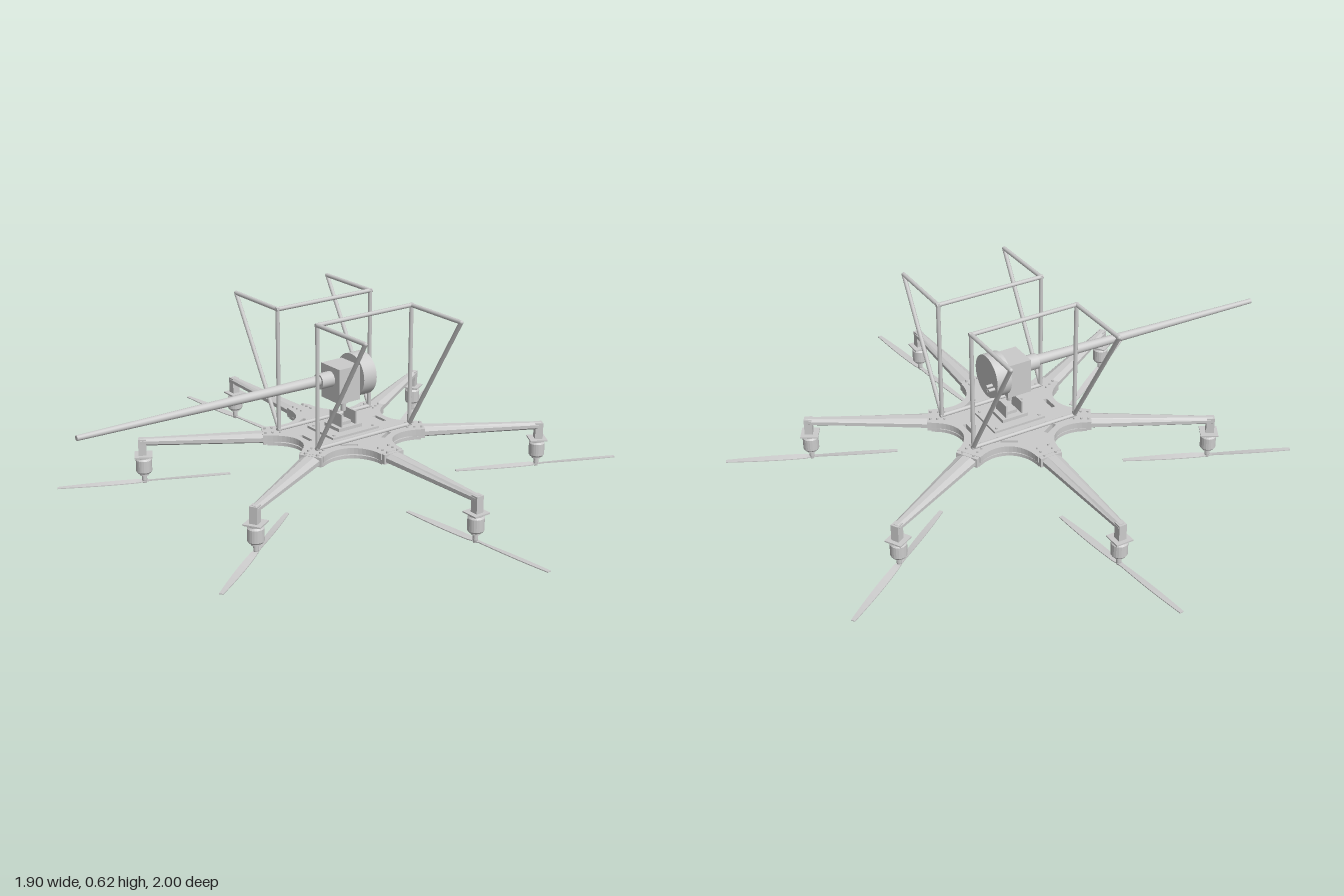
import * as THREE from 'three';

const material = new THREE.MeshStandardMaterial({ color: 0xcccccc });
const flat = new THREE.MeshStandardMaterial({ color: 0xcccccc, flatShading: true });
const CX = 0.065; // hub centre along x

function add(parent, name, geometry, x = 0, y = 0, z = 0, mat = material) {
  const mesh = new THREE.Mesh(geometry, mat);
  mesh.name = name;
  mesh.position.set(x, y, z);
  parent.add(mesh);
  return mesh;
}
const box = (w, h, d) => new THREE.BoxGeometry(w, h, d);
const cyl = (r1, r2, h, n = 24) => new THREE.CylinderGeometry(r1, r2, h, n);

// Round bar between two points, r0 at the start and r1 at the end
function bar(parent, name, a, b, r0, r1 = r0, n = 10) {
  const from = new THREE.Vector3(...a), to = new THREE.Vector3(...b);
  const dir = to.clone().sub(from);
  const mesh = add(parent, name, cyl(r1, r0, dir.length(), n));
  mesh.position.copy(from).addScaledVector(dir, 0.5);
  mesh.quaternion.setFromUnitVectors(new THREE.Vector3(0, 1, 0), dir.normalize());
  return mesh;
}

// Closed path through points
function outline(points, Type = THREE.Path) {
  return new Type(points.map(([x, y]) => new THREE.Vector2(x, y)));
}

// Six-pointed plate with scooped sides between the arms
function hubShape(grow) {
  const shape = new THREE.Shape();
  const at = (a, r, s) => [r * Math.cos(a) - s * Math.sin(a), r * Math.sin(a) + s * Math.cos(a)];
  const w = 0.045 + grow;
  for (let i = 0; i < 6; i++) {
    const a = Math.PI / 6 + i * Math.PI / 3, b = a + Math.PI / 3;
    if (i === 0) shape.moveTo(...at(a, 0.27, -w));
    shape.lineTo(...at(a, 0.27, w));
    shape.bezierCurveTo(...at(a, 0.17, w), ...at(b, 0.17, -w), ...at(b, 0.27, -w));
    // slot near the middle of each scoop
    const m = a + Math.PI / 6;
    shape.holes.push(outline([at(m, 0.155, -0.03), at(m, 0.155, 0.03), at(m, 0.169, 0.03), at(m, 0.169, -0.03)]));
  }
  return shape;
}
function plate(shape, depth) {
  const g = new THREE.ExtrudeGeometry(shape, { depth, bevelEnabled: false, curveSegments: 16 });
  return g.rotateX(-Math.PI / 2);
}

function buildHub() {
  const hub = new THREE.Group();
  hub.name = 'hub';
  const lower = hubShape(-0.004);
  const s = 0.055;
  lower.holes.push(outline([[-s, -s], [-s, s], [s, s], [s, -s]]));
  add(hub, 'lowerPlate', plate(lower, 0.012), 0, 0.135);
  add(hub, 'upperPlate', plate(hubShape(0), 0.022), 0, 0.152);
  add(hub, 'core', box(0.26, 0.012, 0.2), 0, 0.151);
  // raised deck plate with four screws
  add(hub, 'deck', box(0.2, 0.008, 0.15), 0, 0.178);
  for (const x of [-0.085, 0.085]) for (const z of [-0.06, 0.06])
    add(hub, 'deckScrew', cyl(0.005, 0.005, 0.006, 10), x, 0.184, z);
  return hub;
}

// Blade pair: thin twisted strips narrowing to the tips
function bladeGeometry() {
  const g = new THREE.BoxGeometry(0.604, 0.003, 0.02, 24, 1, 1);
  const p = g.attributes.position;
  for (let i = 0; i < p.count; i++) {
    const x = p.getX(i), t = Math.abs(x) / 0.302;
    const z = p.getZ(i) * (0.6 + 0.6 * Math.sin(Math.PI * Math.min(1, t * 0.8 + 0.15)));
    p.setXYZ(i, x, p.getY(i) + z * Math.sign(x) * 0.3 * (1 - t), z);
  }
  g.computeVertexNormals();
  return g;
}

function buildArm() {
  const arm = new THREE.Group();
  arm.name = 'arm';
  // tapered beam, flattened more near the hub
  const g = cyl(0.016, 0.04, 0.47, 8).rotateY(Math.PI / 8).rotateZ(-Math.PI / 2);
  const p = g.attributes.position;
  for (let i = 0; i < p.count; i++) p.setY(i, p.getY(i) * (p.getX(i) > 0 ? 0.85 : 0.5));
  add(arm, 'beam', g, 0.475, 0.154, 0, flat);
  // clamp at the hub
  add(arm, 'clamp', box(0.07, 0.034, 0.082), 0.25, 0.156);
  for (const x of [0.225, 0.25, 0.275]) for (const z of [-0.022, 0.022])
    add(arm, 'clampBolt', cyl(0.004, 0.004, 0.008, 8), x, 0.176, z);
  // downward post and motor mount
  add(arm, 'post', box(0.028, 0.06, 0.028), 0.703, 0.135);
  add(arm, 'motorMount', box(0.062, 0.005, 0.062), 0.7, 0.104);
  const profile = [[0, 0.0], [0.007, 0.0], [0.009, 0.012], [0.009, 0.028], [0.016, 0.03], [0.016, 0.037],
    [0.024, 0.039], [0.028, 0.045], [0.028, 0.088], [0.023, 0.094], [0.023, 0.103], [0, 0.103]];
  const lathe = new THREE.LatheGeometry(profile.map(q => new THREE.Vector2(...q)), 20);
  add(arm, 'motor', lathe, 0.7, 0, 0, flat);
  add(arm, 'propeller', bladeGeometry(), 0.7, 0.007).rotation.y = 0.108;
  return arm;
}

// Triangulated leg frame on one side (side = 1 or -1)
function buildFrame(side) {
  const frame = new THREE.Group();
  frame.name = side > 0 ? 'frontFrame' : 'backFrame';
  const r = 0.0075, zi = 0.115 * side, zo = 0.372 * side, top = 0.615;
  for (const x of [-0.13, 0.27]) {
    bar(frame, 'upright', [x, 0.17, zi], [x, top + 0.006, zi], r);
    bar(frame, 'topRail', [x, top, zi], [x, top, zo], r);
    bar(frame, 'brace', [x, 0.18, zi], [x, top, zo], r);
    add(frame, 'corner', new THREE.SphereGeometry(r, 10, 8), x, top, zo);
  }
  bar(frame, 'crossRail', [-0.137, top, zi], [0.277, top, zi], r);
  bar(frame, 'baseRail', [-0.137, 0.178, zi], [0.277, 0.178, zi], r);
  return frame;
}

function buildTurret() {
  const turret = new THREE.Group();
  turret.name = 'turret';
  // yoke on the deck
  add(turret, 'yokeBase', box(0.1, 0.012, 0.085), CX, 0.188);
  for (const x of [0.033, 0.095]) add(turret, 'yokeSide', box(0.006, 0.052, 0.07), x, 0.215);
  add(turret, 'yokeBlock', box(0.04, 0.016, 0.04), CX, 0.198);
  // neck
  add(turret, 'neck', cyl(0.011, 0.009, 0.055), CX, 0.268);
  add(turret, 'neckCollar', cyl(0.018, 0.018, 0.012), CX, 0.277);
  // housing with rear drum
  const z = -0.004;
  add(turret, 'housing', box(0.09, 0.125, 0.105), 0.056, 0.35, z);
  bar(turret, 'drum', [0.1, 0.364, z], [0.155, 0.364, z], 0.077, 0.077, 40);
  for (const [dy, dz] of [[-0.015, -0.042], [-0.03, -0.046], [-0.022, -0.058]])
    bar(turret, 'knob', [0.15, 0.364 + dy, dz], [0.178, 0.364 + dy, dz], 0.006);
  // long tapering barrel
  bar(turret, 'barrelCollar', [0.015, 0.367, z], [-0.04, 0.367, z], 0.028, 0.028, 24);
  bar(turret, 'barrel', [-0.035, 0.37, z], [-0.95, 0.364, -0.028], 0.019, 0.009, 20);
  return turret;
}

export function createModel() {
  const model = new THREE.Group();
  model.name = 'sixRotorDrone';
  const body = new THREE.Group();
  body.name = 'airframe';
  body.position.x = CX;
  body.add(buildHub());
  for (let i = 0; i < 6; i++) {
    const arm = buildArm();
    arm.rotation.y = -(Math.PI / 6 + i * Math.PI / 3);
    body.add(arm);
  }
  model.add(body, buildFrame(1), buildFrame(-1), buildTurret());
  return model;
}
